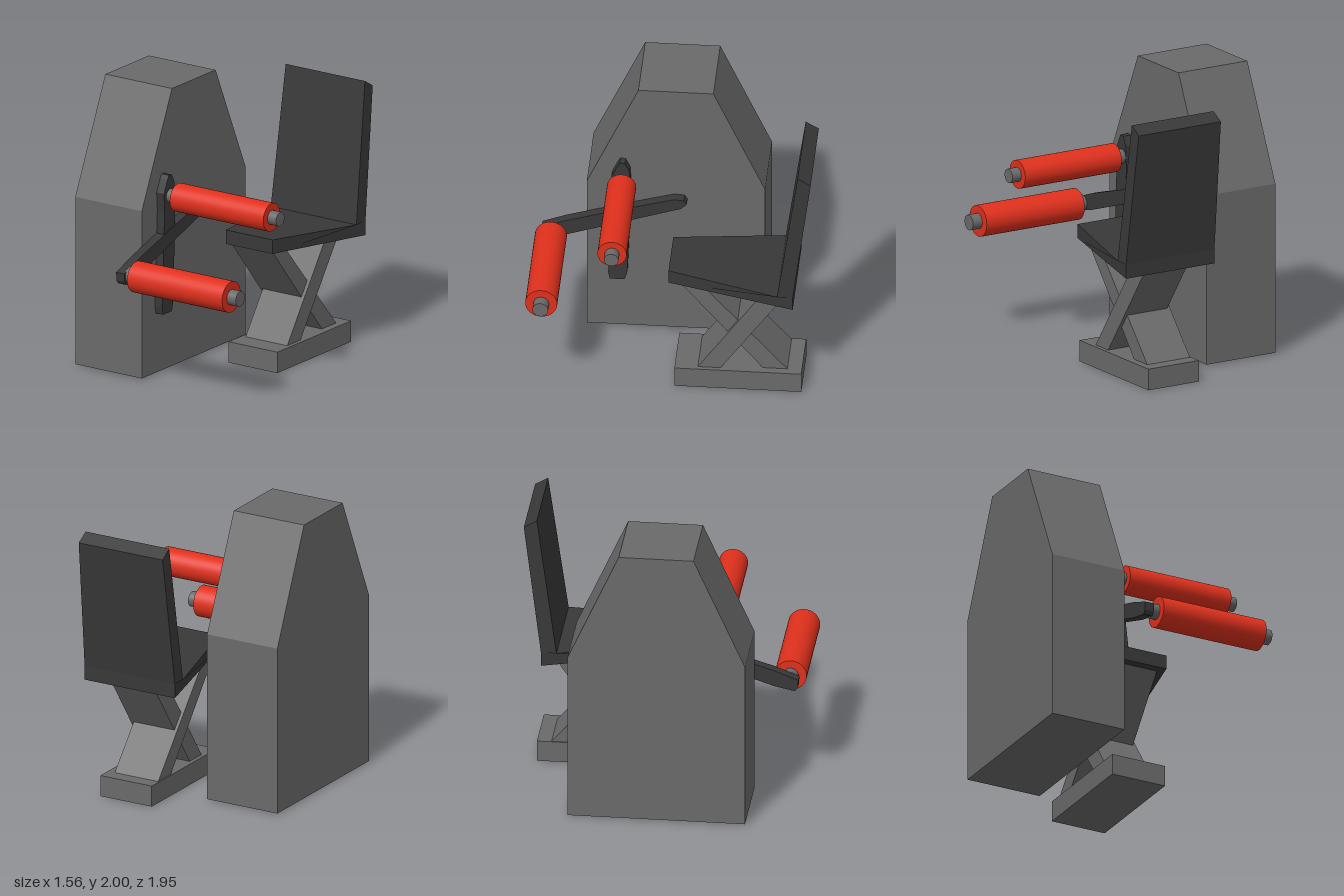
import * as THREE from 'three';

const material = (color, extra = {}) => new THREE.MeshStandardMaterial({ color, ...extra });
const steel = material(0x6a6a6a);
const black = material(0x383838);
const red = material(0xe0301c);

function add(group, name, geometry, mat) {
  const mesh = new THREE.Mesh(geometry, mat);
  mesh.name = name;
  group.add(mesh);
  return mesh;
}

// Side outline given as [z, y] points, extruded across x from x0 to x1
function sideExtrude(points, x0, x1) {
  const shape = new THREE.Shape(points.map(([z, y]) => new THREE.Vector2(z, y)));
  const geometry = new THREE.ExtrudeGeometry(shape, { depth: x1 - x0, bevelEnabled: false });
  return geometry.rotateY(-Math.PI / 2).translate(x1, 0, 0);
}

// Cylinder lying along x
function rod(radius, x0, x1) {
  return new THREE.CylinderGeometry(radius, radius, x1 - x0, 32)
    .rotateZ(Math.PI / 2)
    .translate((x0 + x1) / 2, 0, 0);
}

// L-shaped seat that widens to the rear and narrows again up the backrest
function seatGeometry() {
  const geometry = sideExtrude([
    [0.01, 0.965], [0.01, 0.865], [-0.857, 0.806], [-0.857, 0.907],
    [-0.978, 1.846], [-0.888, 1.9], [-0.75, 0.907],
  ], -1, 1);
  const p = geometry.attributes.position;
  for (let i = 0; i < p.count; i++) {
    const y = p.getY(i), z = p.getZ(i);
    const half = y > 1
      ? THREE.MathUtils.mapLinear(y, 0.907, 1.9, 0.36, 0.333)
      : THREE.MathUtils.mapLinear(Math.max(z, -0.75), 0.01, -0.75, 0.196, 0.36);
    p.setX(i, 0.243 + Math.sign(p.getX(i)) * half);
  }
  geometry.computeVertexNormals();
  return geometry;
}

export function createModel() {
  const model = new THREE.Group();
  model.name = 'pedalMachine';

  // Tall housing with a tapered top
  add(model, 'housing', sideExtrude([
    [0.627, 0.008], [0.627, 1.21], [0.272, 2], [-0.243, 2], [-0.598, 1.21], [-0.598, 0.008],
  ], -0.78, -0.22), steel);

  // Two crossed crank arms against the housing
  add(model, 'uprightArm', sideExtrude([
    [0.464, 0.435], [0.475, 0.49], [0.445, 1.18], [0.453, 1.3], [0.412, 1.39], [0.395, 1.42],
    [0.36, 1.415], [0.328, 1.35], [0.32, 1.2], [0.33, 0.88], [0.345, 0.49], [0.363, 0.435],
  ], -0.222, -0.158), black);
  add(model, 'forwardArm', sideExtrude([
    [0.93, 0.85], [0.925, 0.79], [0.905, 0.765], [0.76, 0.797], [-0.025, 1.06],
    [-0.065, 1.098], [-0.045, 1.13], [0.025, 1.135], [0.3, 1.055], [0.76, 0.915],
  ], -0.221, -0.152), black);

  // Padded rollers on axles
  const rollers = [
    { name: 'upperRoller', y: 1.27, z: 0.377, r: 0.1, x0: -0.093, x1: 0.693, axle: 0.05, end: 0.765 },
    { name: 'lowerRoller', y: 0.825, z: 0.863, r: 0.11, x0: -0.098, x1: 0.7, axle: 0.054, end: 0.775 },
  ];
  for (const { name, y, z, r, x0, x1, axle, end } of rollers) {
    const roller = new THREE.Group();
    roller.name = name;
    roller.position.set(0, y, z);
    add(roller, 'pad', rod(r, x0, x1), red);
    add(roller, 'axle', rod(axle, -0.16, end), steel);
    model.add(roller);
  }

  // Seat on crossed struts and a floor plate
  const chair = new THREE.Group();
  chair.name = 'chair';
  model.add(chair);
  add(chair, 'seat', seatGeometry(), black);
  add(chair, 'floorPlate', new THREE.BoxGeometry(0.41, 0.15, 0.872).translate(0.245, 0.075, -0.467), steel);
  add(chair, 'rearwardStrut', sideExtrude([
    [-0.19, 0.15], [-0.66, 0.83], [-0.82, 0.83], [-0.347, 0.15],
  ], 0.07, 0.42), steel);
  add(chair, 'forwardStrut', sideExtrude([
    [-0.635, 0.15], [-0.803, 0.15], [-0.18, 0.868], [-0.04, 0.868],
  ], 0.048, 0.395), steel);

  return model;
}
